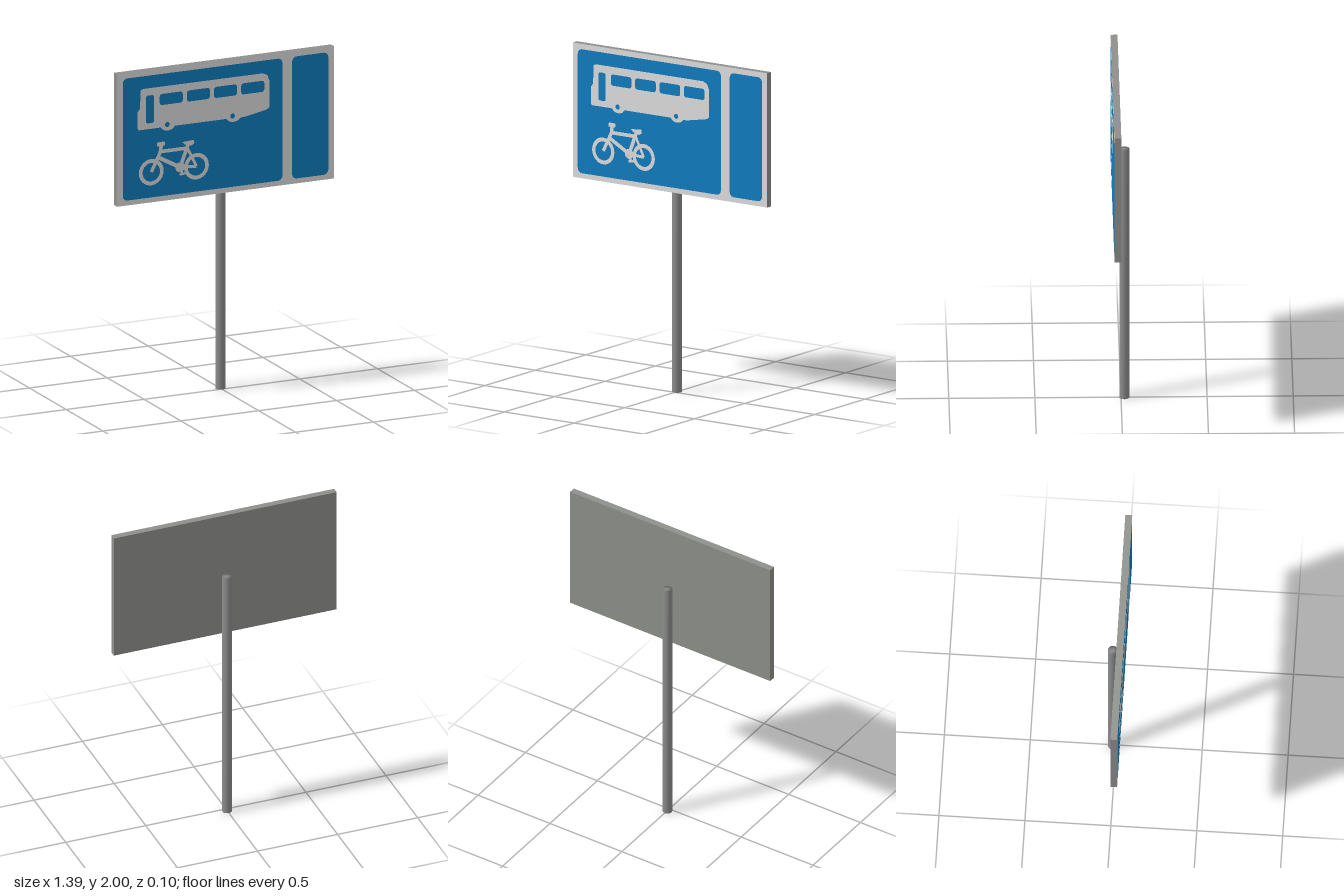
import * as THREE from 'three';
import { mergeVertices } from 'three/addons/utils/BufferGeometryUtils.js';

const mat = (name, color) => new THREE.MeshStandardMaterial({ name, color });

// Rounded rectangle, as a Shape or a Path for holes
function roundRect(x0, y0, x1, y1, r, Type = THREE.Shape) {
  const p = new Type();
  p.absarc(x1 - r, y1 - r, r, 0, Math.PI / 2);
  p.absarc(x0 + r, y1 - r, r, Math.PI / 2, Math.PI);
  p.absarc(x0 + r, y0 + r, r, Math.PI, Math.PI * 1.5);
  p.absarc(x1 - r, y0 + r, r, Math.PI * 1.5, Math.PI * 2);
  p.closePath();
  return p;
}

const polygon = (pts) => new THREE.Shape(pts.map(([x, y]) => new THREE.Vector2(x, y)));

function ring(x, y, outer, inner) {
  const s = new THREE.Shape().absarc(x, y, outer, 0, Math.PI * 2);
  s.holes.push(new THREE.Path().absarc(x, y, inner, 0, Math.PI * 2, true));
  return s;
}

// Straight bar of width w between two points
function bar([x0, y0], [x1, y1], w) {
  const l = Math.hypot(x1 - x0, y1 - y0);
  const nx = (-(y1 - y0) / l) * w / 2, ny = ((x1 - x0) / l) * w / 2;
  return polygon([[x0 + nx, y0 + ny], [x0 - nx, y0 - ny], [x1 - nx, y1 - ny], [x1 + nx, y1 + ny]]);
}

export function createModel() {
  const group = new THREE.Group();
  const postGrey = mat('postGrey', 0x8c8c8c);
  const boardGrey = mat('boardGrey', 0x8e908c);
  const white = mat('signWhite', 0xdedede);
  const blue = mat('signBlue', 0x0d7dc0);

  const add = (name, geometry, material, z = 0) => {
    const m = new THREE.Mesh(geometry, material);
    m.name = name;
    m.position.z = z;
    group.add(m);
    return m;
  };
  const flat = (name, shapes, material, z) => add(name, new THREE.ShapeGeometry(shapes, 12), material, z);

  // Post, with normals smoothed over its end caps
  let postGeo = new THREE.CylinderGeometry(0.029, 0.029, 1.6, 24);
  postGeo.deleteAttribute('uv');
  postGeo.deleteAttribute('normal');
  postGeo = mergeVertices(postGeo);
  postGeo.computeVertexNormals();
  add('post', postGeo, postGrey, -0.02).position.y = 0.8;

  // Board with a white front face
  const g = boardGrey;
  add('board', new THREE.BoxGeometry(1.392, 0.8, 0.04), [g, g, g, g, white, g], 0.029).position.y = 1.6;

  // Blue panels
  const zPanel = 0.0497, zSymbol = 0.0504;
  flat('mainPanel', roundRect(-0.66, 1.23, 0.365, 1.968, 0.03), blue, zPanel);
  flat('sidePanel', roundRect(0.428, 1.23, 0.66, 1.968, 0.03), blue, zPanel);

  // Bus silhouette with window, door and hub openings
  const bus = polygon([
    [-0.545, 1.885], [-0.53, 1.892], [0.24, 1.892], [0.268, 1.878], [0.281, 1.845], [0.281, 1.682],
    [0.265, 1.67], [0.13, 1.645], [0.095, 1.642], [0.08, 1.628], [0.062, 1.622], [0.042, 1.622],
    [0.022, 1.628], [0.005, 1.645], [-0.325, 1.645], [-0.34, 1.628], [-0.358, 1.622],
    [-0.378, 1.622], [-0.4, 1.628], [-0.415, 1.645], [-0.558, 1.645], [-0.565, 1.655],
    [-0.565, 1.755], [-0.55, 1.775],
  ]);
  bus.holes.push(roundRect(-0.512, 1.68, -0.459, 1.848, 0.014, THREE.Path));
  for (let i = 0; i < 4; i++) {
    const x = -0.423 + i * 0.1745;
    bus.holes.push(roundRect(x, 1.78, x + 0.148, 1.847, 0.016, THREE.Path));
  }
  for (const x of [-0.374, 0.045]) {
    bus.holes.push(new THREE.Path().absarc(x, 1.658, 0.015, 0, Math.PI * 2, true));
  }
  flat('busSymbol', bus, white, zSymbol);

  // Bicycle: wheels, frame tubes, handlebar, saddle and crank
  const front = [-0.477, 1.383], rear = [-0.187, 1.383], crank = [-0.292, 1.39];
  const head = [-0.418, 1.50], seat = [-0.245, 1.50];
  flat('bicycleWheels', [ring(...front, 0.08, 0.056), ring(...rear, 0.08, 0.056)], white, zSymbol);
  flat('bicycleFrame', [
    bar([-0.412, 1.55], head, 0.024),
    bar(head, front, 0.022),
    bar(head, seat, 0.022),
    bar([-0.43, 1.465], crank, 0.024),
    bar([-0.235, 1.535], crank, 0.024),
    bar(seat, rear, 0.018),
    bar(crank, rear, 0.018),
  ], white, zSymbol);
  flat('bicycleHandlebar', roundRect(-0.44, 1.533, -0.39, 1.558, 0.008), white, zSymbol);
  flat('bicycleSaddle', polygon([[-0.278, 1.54], [-0.205, 1.545], [-0.2, 1.525], [-0.22, 1.512], [-0.26, 1.522]]), white, zSymbol);
  flat('bicycleCrank', [
    ring(...crank, 0.03, 0.014),
    bar([-0.292, 1.41], [-0.28, 1.35], 0.018),
    bar([-0.295, 1.345], [-0.255, 1.35], 0.014),
  ], white, zSymbol);

  return group;
}
